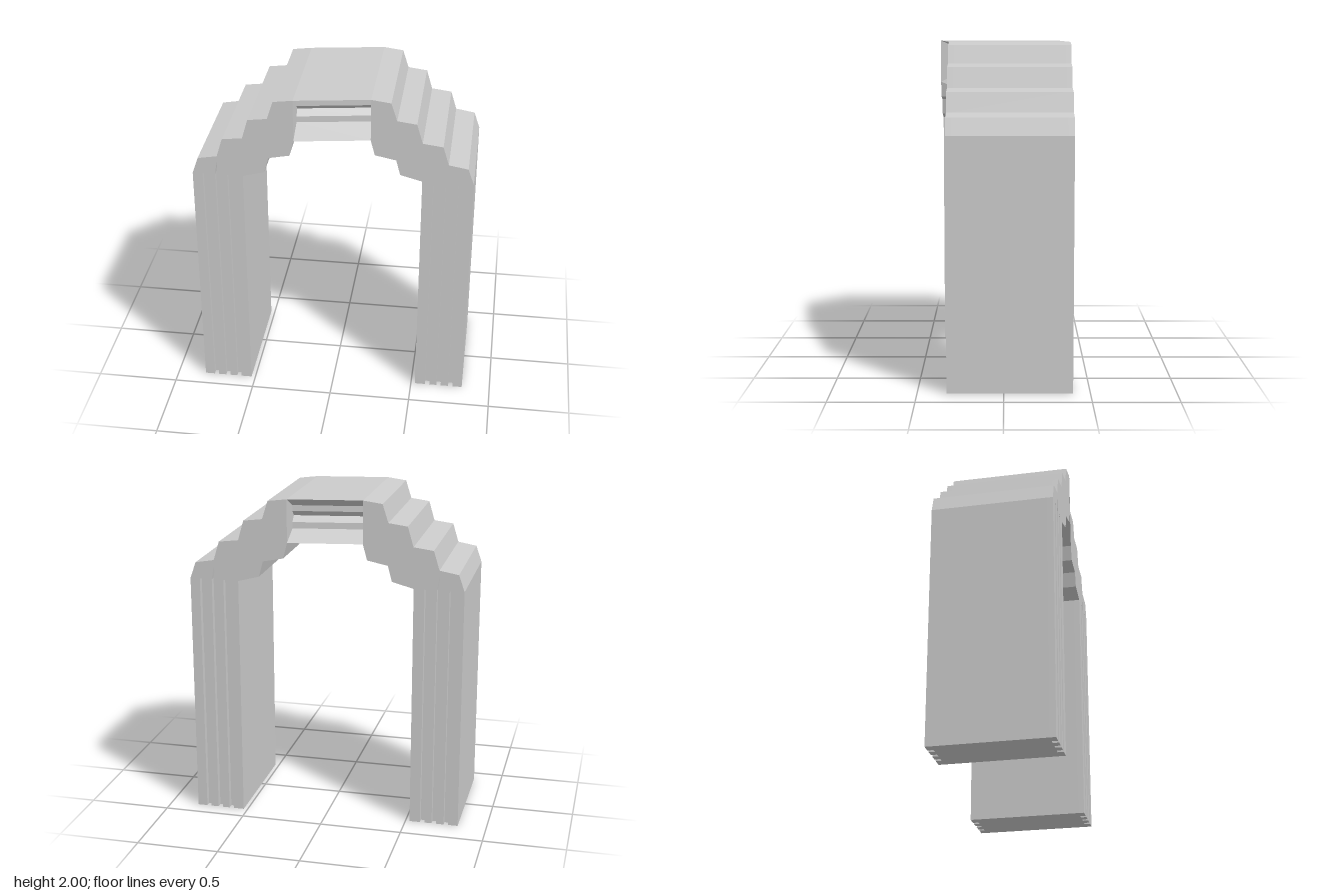
import * as THREE from 'three';

const FRONT = 0.4, BACK = -0.33;   // depth range of the -x half
const GROOVE = 0.035;              // depth of the leg grooves
const INNER = 0.22;                // half width of the crown

const material = new THREE.MeshStandardMaterial({ color: 0xcccccc, flatShading: true });

// stepped outline of one half, from the outer foot over the top to the inner foot
const outline = [
  [-0.825, 0], [-0.825, 1.49], [-0.79, 1.59], [-0.675, 1.61], [-0.64, 1.725],
  [-0.52, 1.74], [-0.485, 1.86], [-0.37, 1.875], [-0.335, 1.985], [-INNER, 2],
  [-INNER, 1.74], [-0.245, 1.645], [-0.37, 1.62], [-0.395, 1.525], [-0.525, 1.49], [-0.525, 0],
];

// grooves cut up from the foot, listed from the inside out; the middle one ends in a point
const grooves = [[-0.604, 1.49], [-0.677, 1.57], [-0.752, 1.49]];
const notches = grooves.flatMap(([x, top]) => {
  const r = x + 0.014, l = x - 0.014;
  return top > 1.5
    ? [[r, 0], [r, 1.49], [x, top], [l, 1.49], [l, 0]]
    : [[r, 0], [r, top], [l, top], [l, 0]];
});

function slab(points, z0, z1, name) {
  const shape = new THREE.Shape(points.map(([x, y]) => new THREE.Vector2(x, y)));
  const geometry = new THREE.ExtrudeGeometry(shape, { depth: z1 - z0, bevelEnabled: false });
  geometry.translate(0, 0, z0);
  const mesh = new THREE.Mesh(geometry, material);
  mesh.name = name;
  return mesh;
}

// one leg with its stepped shoulder, grooved on both faces
function createHalf(name) {
  const half = new THREE.Group();
  half.name = name;
  const grooved = [...outline, ...notches];
  half.add(
    slab(outline, BACK + GROOVE, FRONT - GROOVE, 'legCore'),
    slab(grooved, FRONT - GROOVE, FRONT, 'frontGroovedFace'),
    slab(grooved, BACK, BACK + GROOVE, 'backGroovedFace'),
  );
  return half;
}

// crown bridging the offset halves, with a recessed channel on both faces
function createCrown() {
  // height and inset of the recess, top to bottom
  const recess = [
    [2, 0], [1.94, 0.125], [1.905, 0.125], [1.872, 0.16],
    [1.838, 0.125], [1.8, 0.125], [1.74, 0],
  ];
  const ring = (x, front, back) => [
    ...recess.map(([y, d]) => [x, y, front - d]),
    ...[...recess].reverse().map(([y, d]) => [x, y, back + d]),
  ];
  const a = ring(-INNER, FRONT, BACK);
  const b = ring(INNER, -BACK, -FRONT);
  const positions = [];
  a.forEach((p, i) => {
    const j = (i + 1) % a.length;
    positions.push(...p, ...a[j], ...b[j], ...p, ...b[j], ...b[i]);
  });
  const geometry = new THREE.BufferGeometry();
  geometry.setAttribute('position', new THREE.Float32BufferAttribute(positions, 3));
  geometry.computeVertexNormals();
  const mesh = new THREE.Mesh(geometry, material);
  mesh.name = 'crown';
  return mesh;
}

export function createModel() {
  const model = new THREE.Group();
  model.name = 'steppedArch';
  const right = createHalf('rightHalf');
  const left = createHalf('leftHalf');
  left.rotation.y = Math.PI; // same half turned round, which offsets it in depth
  model.add(right, left, createCrown());
  return model;
}
